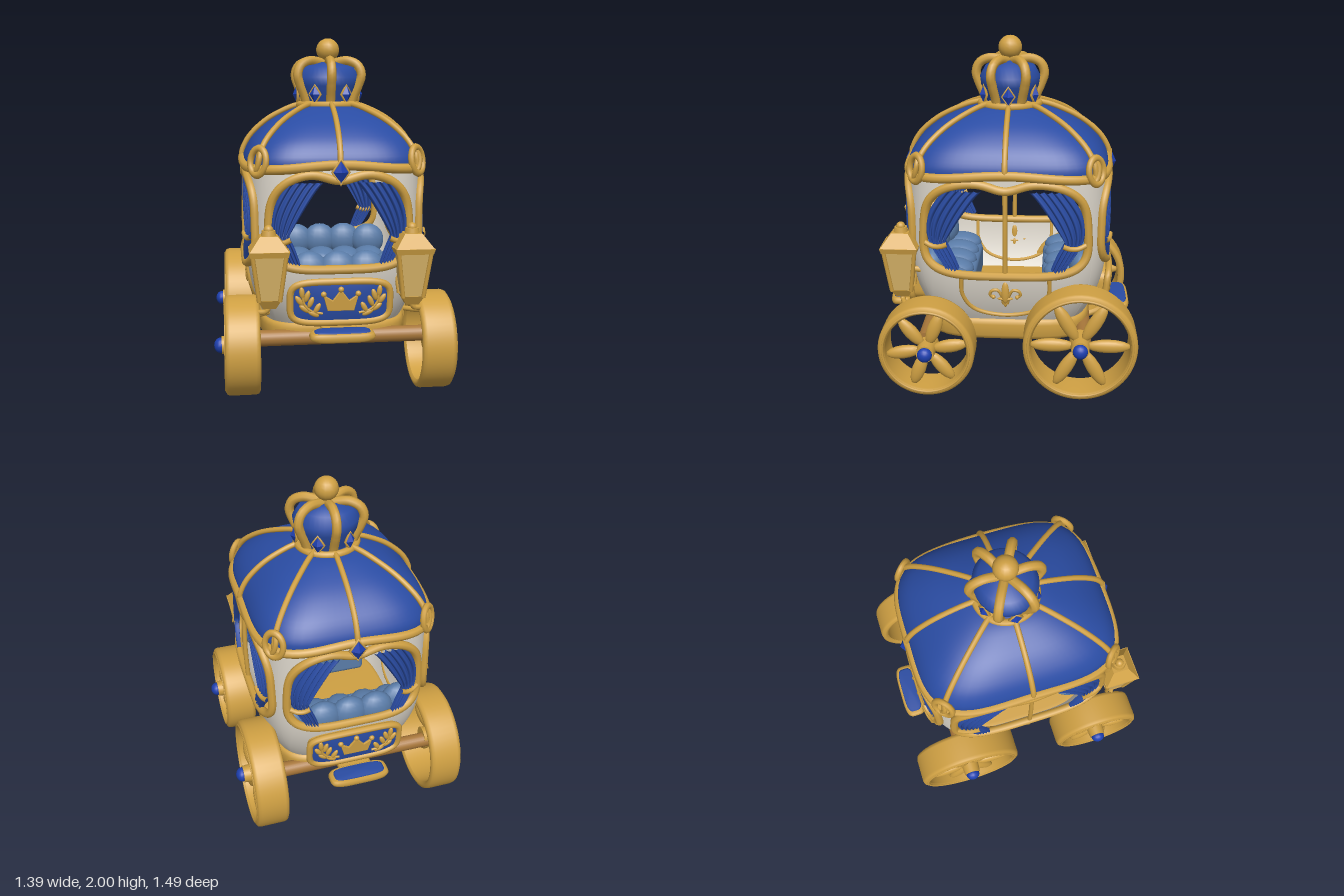
import * as THREE from 'three';
import { RoundedBoxGeometry } from 'three/addons/geometries/RoundedBoxGeometry.js';

const mat = (name, color, side = THREE.FrontSide) => {
  const m = new THREE.MeshStandardMaterial({ color, side });
  m.name = name;
  return m;
};
const gold = mat('gold', 0xcfa043), blue = mat('royal blue', 0x2a4ca3, THREE.DoubleSide);
const gem = mat('gem blue', 0x1d3fae), cream = mat('cream', 0xdad4c9, THREE.DoubleSide);
const cushion = mat('cushion blue', 0x5a7ca8), bronze = mat('bronze', 0xa8773a), glass = mat('lamp glass', 0xd8b468);

const V = (x, y, z) => new THREE.Vector3(x, y, z);
function add(parent, name, geo, m, pos = [0, 0, 0], rot = [0, 0, 0], scale = [1, 1, 1]) {
  const mesh = new THREE.Mesh(geo, m);
  mesh.name = name;
  mesh.position.set(...pos); mesh.rotation.set(...rot); mesh.scale.set(...scale);
  parent.add(mesh);
  return mesh;
}
function group(parent, name) {
  const g = new THREE.Group();
  g.name = name; parent.add(g);
  return g;
}
const ball = new THREE.SphereGeometry(1, 16, 11);
const tube = (p, name, pts, r, m = gold, closed = false, seg = 24) =>
  add(p, name, new THREE.TubeGeometry(new THREE.CatmullRomCurve3(pts, closed), seg, r, 8, closed), m);

// Grid of points f(i, j) -> Vector3 as one smooth surface
function grid(nu, nv, f, wrap = false) {
  const pos = [], idx = [], row = wrap ? nu : nu + 1;
  for (let j = 0; j <= nv; j++) for (let i = 0; i < row; i++) pos.push(...f(i, j).toArray());
  for (let j = 0; j < nv; j++) for (let i = 0; i < nu; i++) {
    const k = (i + 1) % row, a = j * row + i, b = j * row + k, c = a + row, d = b + row;
    idx.push(a, b, d, a, d, c);
  }
  const g = new THREE.BufferGeometry();
  g.setAttribute('position', new THREE.Float32BufferAttribute(pos, 3));
  g.setIndex(idx);
  g.computeVertexNormals();
  return g;
}

// Superellipse direction and ring point
function oval(t, n) {
  const s = Math.sin(t), c = Math.cos(t), r = (Math.abs(s) ** n + Math.abs(c) ** n) ** (-1 / n);
  return [s * r, c * r];
}
const ringPoint = (t, hx, hz, y, n) => { const [s, c] = oval(t, n); return V(hx * s, y, hz * c); };
// Solid of stacked rounded outlines, from [half width, y] pairs
const stack = (prof, depth, n) => grid(64, prof.length - 1, (i, j) =>
  ringPoint(i / 64 * Math.PI * 2, prof[j][0], prof[j][0] * depth, prof[j][1], n), true);

// Cabin surface: u runs across the face, d outwards; faces are front, left, back, right
const swell = y => y < 0.85 ? 1 - 1.29 * (0.85 - y) ** 2.4 : 1 - 0.12 * (y - 0.85) ** 2;
const halfs = (f, y) => { const k = swell(y); return f % 2 ? [0.585 * k, 0.505 * k] : [0.505 * k, 0.585 * k]; };
const turn = (f, v) => v.applyAxisAngle(V(0, 1, 0), f * Math.PI / 2);
function onCabin(f, u, y, off = 0) {
  const [hu, hd] = halfs(f, y), q = Math.min(1, Math.abs(u / (hu + off)));
  return turn(f, V(u, y, (hd + off) * (1 - q ** 4) ** 0.25));
}

// Window outline: arched above, with a dip in the middle of the top edge
const win = f => f % 2 ? { w: 0.46, lo: 0.71, hi: 1.255, n: 3.3 } : { w: 0.385, lo: 0.73, hi: 1.26, n: 2.8 };
function windowPoint(f, t) {
  const { w, lo, hi, n } = win(f), [s, c] = oval(t, Math.sin(t) > 0 ? n : 4);
  const u = w * c * (1 - 0.04 * s);
  return [u, (lo + hi) / 2 + (hi - lo) / 2 * s - (s > 0 ? 0.045 * Math.exp(-((u / 0.11) ** 2)) : 0)];
}

function cabinFace(parent, f) {
  const g = group(parent, ['frontWall', 'leftWall', 'backWall', 'rightWall'][f]);
  const N = 80, M = 8, angle = i => i / N * Math.PI * 2;
  add(g, 'wall', grid(N, M, (i, j) => {
    const t = -angle(i), c = Math.cos(t), s = Math.sin(t), m = Math.max(Math.abs(c), Math.abs(s));
    const [u, y] = windowPoint(f, t), q = u / halfs(f, y)[0];
    const a0 = q / (1 - q ** 4) ** 0.25, k = j / M;
    const a = a0 + (c / m - a0) * k, yy = y + (0.84 + 0.46 * s / m - y) * k;
    return onCabin(f, halfs(f, yy)[0] * a / (1 + a ** 4) ** 0.25, yy);
  }, true), cream);
  const frame = [];
  for (let i = 0; i < 64; i++) frame.push(onCabin(f, ...windowPoint(f, i / 64 * Math.PI * 2), 0.008));
  tube(g, 'windowFrame', frame, 0.025, gold, true, 110);

  // Gathered curtains and their ties
  const w = win(f).w, side = f % 2;
  const lerp = THREE.MathUtils.lerp, T = 0.66;
  for (const sg of [-1, 1]) {
    const inner = v => v < T ? lerp(side ? 0.13 : 0.09, w * 0.73, (v / T) ** 0.85) : lerp(w * 0.73, w * 0.56, ((v - T) / (1 - T)) ** 0.7);
    const outer = v => w * (0.74 + 0.24 * Math.sin(Math.PI * Math.min(1, v * 1.02)));
    add(g, 'curtain', grid(40, 14, (i, j) => {
      const v = j / 14, x = sg > 0 ? 1 - i / 40 : i / 40; // folds are rounded pleats
      return onCabin(f, sg * lerp(inner(v), outer(v), x), 1.205 - 0.45 * v - 0.02 * Math.sin(x * 3) * v, 0.026 * Math.abs(Math.sin(x * Math.PI * 5)) ** 0.8 - 0.005);
    }), blue);
    tube(g, 'curtainTie', [0, 0.3, 0.65, 1].map(x =>
      onCabin(f, sg * lerp(w * 0.7, w * 0.98, x), 0.9 - 0.02 * Math.sin(x * 3), 0.022)), 0.015);
  }
  if (side) doorTrim(g, f);
  else endTrim(g, f);
}

function doorTrim(g, f) {
  tube(g, 'windowBar', [0.71, 0.95, 1.21].map(y => onCabin(f, 0, y, 0.005)), 0.014);
  const trim = [[-0.25, 0.7], [-0.245, 0.58], [-0.18, 0.485], [0, 0.44], [0.18, 0.485], [0.245, 0.58], [0.25, 0.7]];
  tube(g, 'doorTrim', trim.map(([u, y]) => onCabin(f, u, y, 0.005)), 0.012, gold, false, 48);
  // Lily ornament
  const lily = group(g, 'lily');
  const p = onCabin(f, 0, 0.605, 0.01), r = [0, f * Math.PI / 2, 0];
  add(lily, 'petal', ball, gold, p.toArray(), r, [0.022, 0.066, 0.014]);
  add(lily, 'band', ball, gold, onCabin(f, 0, 0.565, 0.012).toArray(), r, [0.045, 0.01, 0.016]);
  add(lily, 'stem', ball, gold, onCabin(f, 0, 0.545, 0.01).toArray(), r, [0.013, 0.035, 0.012]);
  for (const s of [-1, 1]) {
    const curl = [[0.012, 0.53], [0.02, 0.58], [0.045, 0.622], [0.078, 0.615], [0.086, 0.588], [0.068, 0.575]];
    tube(lily, 'curl', curl.map(([u, y]) => onCabin(f, s * u, y, 0.01)), 0.009);
    add(lily, 'curlEnd', ball, gold, onCabin(f, s * 0.068, 0.575, 0.01).toArray(), r, [0.012, 0.012, 0.012]);
  }
}

function endTrim(parent, f) {
  const g = group(parent, 'endTrim');
  g.rotation.y = f * Math.PI / 2;
  // Nearly upright blue panel standing off the wall, with a gold border
  const onPanel = (x, y, o) => { const p = onCabin(0, x, 0.6 + (y - 0.545) * 0.35, o); p.y = y; return p; };
  const edge = i => { const [s, c] = oval(i / 64 * Math.PI * 2, 4.5); return [0.275 * c, 0.55 + 0.117 * s]; };
  add(g, 'panel', grid(64, 6, (i, j) => {
    const [u, y] = edge(i), k = 1 - j / 6;
    return onPanel(u * k, 0.55 + (y - 0.55) * k, 0.04 + 0.01 * (1 - k * k));
  }, true), blue);
  add(g, 'panelSide', grid(64, 1, (i, j) => j ? onPanel(...edge(i), 0.04) : onCabin(0, ...edge(i), -0.01), true), gold);
  const pts = [];
  for (let i = 0; i < 64; i++) pts.push(onPanel(...edge(i), 0.037));
  tube(g, 'panelBorder', pts, 0.02, gold, true, 90);
  // Crown and leaf relief
  const at = (x, y, o) => onPanel(x, y, o).toArray();
  const shape = new THREE.Shape([[-0.07, -0.05], [0.07, -0.05], [0.095, 0.035], [0.045, 0], [0, 0.06], [-0.045, 0], [-0.095, 0.035]].map(p => new THREE.Vector2(...p)));
  add(g, 'crownPlate', new THREE.ExtrudeGeometry(shape, { depth: 0.012, bevelSize: 0.004, bevelThickness: 0.004, bevelSegments: 2 }), gold, at(0, 0.56, 0.045), [0.07, 0, 0]);
  for (const [x, y] of [[-0.095, 0.6], [0, 0.625], [0.095, 0.6]]) add(g, 'crownBead', ball, gold, at(x, y, 0.053), [0, 0, 0], [0.016, 0.016, 0.014]);
  for (const s of [-1, 1]) {
    tube(g, 'twig', [[0.1, 0.49], [0.16, 0.505], [0.2, 0.545], [0.21, 0.59]].map(([x, y]) => V(...at(s * x, y, 0.052))), 0.007);
    for (const [x, y, a] of [[0.13, 0.52, 0.5], [0.15, 0.49, -1.1], [0.165, 0.555, 0.4], [0.2, 0.52, -0.9], [0.185, 0.59, 0.3], [0.228, 0.565, -0.6], [0.213, 0.61, -0.1]])
      add(g, 'leaf', ball, gold, at(s * x, y, 0.05), [0.07, 0, s * a], [0.015, 0.034, 0.012]);
  }
  // Padded step and roof-edge jewel
  const step = [[0.001, 0.36], [0.15, 0.36], [0.172, 0.368], [0.18, 0.385], [0.172, 0.402], [0.155, 0.408], [0.001, 0.408]];
  const pad = [[0.152, 0.4], [0.152, 0.41], [0.14, 0.416], [0.001, 0.418]];
  add(g, 'step', stack(step, 0.38, 4), gold, [0, 0, 0.67]);
  add(g, 'stepPad', stack(pad, 0.33, 4), blue, [0, 0, 0.672]);
  add(g, 'stepBracket', new RoundedBoxGeometry(0.2, 0.04, 0.2, 2, 0.015), gold, [0, 0.38, 0.55]);
  jewel(g, [0, 1.262, 0.598], [0, 0, 0], 1);
}

function jewel(parent, pos, rot, k) {
  const g = group(parent, 'jewel');
  g.position.set(...pos); g.rotation.set(...rot); g.scale.setScalar(k);
  add(g, 'stone', new THREE.OctahedronGeometry(1), gem, [0, 0, 0.005], [0, 0, 0], [0.045, 0.066, 0.03]);
  add(g, 'setting', new THREE.TorusGeometry(0.064, 0.01, 8, 4), gold, [0, 0, 0], [0, 0, 0], [0.72, 1.05, 1]);
}

function roof(parent) {
  const g = group(parent, 'roof');
  const prof = new THREE.SplineCurve([[1, 1.28], [0.985, 1.34], [0.89, 1.425], [0.71, 1.51], [0.5, 1.57], [0.3, 1.605], [0.001, 1.62]].map(p => new THREE.Vector2(...p))).getPoints(24);
  const at = (t, p, o = 0) => ringPoint(t, 0.51 * p.x + o, 0.58 * p.x + o, p.y + o, 2 + 2 * Math.min(1, p.x));
  add(g, 'canopy', grid(80, 24, (i, j) => at(i / 80 * Math.PI * 2, prof[j]), true), blue);
  for (let k = 0; k < 8; k++) tube(g, 'rib', prof.slice(0, 23).map(p => at(k * Math.PI / 4, p, 0.01)), 0.016);
  const eave = [];
  for (let i = 0; i < 64; i++) { const t = i / 64 * Math.PI * 2; eave.push(ringPoint(t, 0.513, 0.578, 1.284 + 0.014 * Math.cos(4 * t), 4)); }
  tube(g, 'eave', eave, 0.027, gold, true, 120);
  // Corner scrolls
  for (const sx of [-1, 1]) for (const sz of [-1, 1]) {
    const c = group(g, 'cornerScroll');
    c.position.set(sx * 0.43, 1.315, sz * 0.49);
    c.rotation.y = Math.atan2(sx, sz);
    add(c, 'loop', new THREE.TorusGeometry(0.06, 0.018, 8, 28), gold, [0, 0, 0.01], [-0.15, 0, 0], [0.95, 1.2, 1]);
    tube(c, 'curl', [V(0, 0.07, -0.01), V(0.015, 0.02, 0.015), V(0, -0.04, 0.02), V(-0.03, -0.07, 0.01)], 0.015);
  }
}

function crown(parent) {
  const g = group(parent, 'crown'), D = 0.92;
  const cap = [[0.14, 1.6], [0.155, 1.65], [0.185, 1.72], [0.192, 1.77], [0.155, 1.83], [0.07, 1.86], [0, 1.865]];
  add(g, 'cap', new THREE.LatheGeometry(cap.map(p => new THREE.Vector2(...p)), 40), blue, [0, 0, 0], [0, 0, 0], [1, 1, D]);
  add(g, 'collar', new THREE.TorusGeometry(0.172, 0.022, 8, 48), gold, [0, 1.61, 0], [Math.PI / 2, 0, 0]);
  for (let k = 0; k < 6; k++) {
    const a = k * Math.PI / 3, s = Math.sin(a), c = Math.cos(a) * D;
    tube(g, 'arm', [[0.15, 1.61], [0.168, 1.66], [0.2, 1.73], [0.217, 1.785], [0.195, 1.84], [0.135, 1.868], [0.07, 1.862], [0, 1.84]].map(([r, y]) => V(r * s, y, r * c)), 0.027);
    const b = a + Math.PI / 6;
    jewel(g, [0.182 * Math.sin(b), 1.672, 0.182 * Math.cos(b) * D], [0, b, 0], 0.8);
  }
  add(g, 'orb', ball, gold, [0, 1.932, 0], [0, 0, 0], [0.069, 0.068, 0.069]);
}

function wheel(parent, name, x, y, z, R, phase) {
  const g = group(parent, name);
  g.position.set(x, y, z);
  g.rotation.z = x > 0 ? -Math.PI / 2 : Math.PI / 2; // local +y points outwards
  const i = R - 0.045, h = 0.095;
  const prof = [[i, -h + 0.012], [i + 0.012, -h], [R - 0.02, -h], [R - 0.005, -h + 0.008], [R, -h + 0.025], [R, h - 0.025], [R - 0.005, h - 0.008], [R - 0.02, h], [i + 0.012, h], [i, h - 0.012], [i, -h + 0.012]];
  add(g, 'rim', new THREE.LatheGeometry(prof.map(p => new THREE.Vector2(...p)), 56), gold);
  add(g, 'rimBead', new THREE.TorusGeometry(R - 0.03, 0.008, 6, 56), gold, [0, h - 0.002, 0], [Math.PI / 2, 0, 0]);
  const L = (i - 0.035) / 2;
  for (let k = 0; k < 6; k++) {
    const a = k * Math.PI / 3 + phase, r = 0.037 + L;
    add(g, 'spoke', ball, gold, [r * Math.sin(a), 0.045, r * Math.cos(a)], [0, a, 0], [0.04, 0.03, L + 0.005]);
  }
  add(g, 'hub', new THREE.CylinderGeometry(0.05, 0.06, 0.15, 28), gold, [0, 0.04, 0]);
  add(g, 'hubCap', ball, gem, [0, 0.122, 0], [0, 0, 0], [0.043, 0.036, 0.043]);
}

function lantern(parent, s) {
  const g = group(parent, s > 0 ? 'leftLantern' : 'rightLantern');
  const x = s * 0.39, z = 0.605, q = Math.SQRT2;
  const frustum = (name, top, bot, y0, y1, m) => add(g, name,
    new THREE.CylinderGeometry(top * q, bot * q, y1 - y0, 4).toNonIndexed(), m, [x, (y0 + y1) / 2, z], [0, Math.PI / 4, 0]).geometry.computeVertexNormals();
  frustum('panes', 0.088, 0.055, 0.58, 0.83, glass);
  frustum('rim', 0.108, 0.1, 0.825, 0.855, gold);
  frustum('hood', 0.048, 0.104, 0.855, 0.93, gold);
  frustum('foot', 0.062, 0.035, 0.535, 0.585, gold);
  add(g, 'chimney', new THREE.CylinderGeometry(0.036, 0.042, 0.03, 20), gold, [x, 0.942, z]);
  add(g, 'finial', ball, gold, [x, 0.96, z], [0, 0, 0], [0.026, 0.026, 0.026]);
  for (const a of [-1, 1]) for (const b of [-1, 1])
    tube(g, 'cornerBar', [V(x + a * 0.056, 0.58, z + b * 0.056), V(x + a * 0.089, 0.83, z + b * 0.089)], 0.012, gold, false, 2);
  tube(g, 'bracket', [V(x, 0.55, z), V(x + s * 0.015, 0.515, z), V(x + s * 0.07, 0.5, z - 0.03), V(x + s * 0.075, 0.47, z - 0.09), V(x, 0.46, z - 0.17)], 0.015);
  tube(g, 'mount', [V(x, 0.7, z), V(x, 0.7, 0.54), V(x, 0.69, 0.47)], 0.018, gold, false, 8);
}

function seat(parent, s) {
  const g = group(parent, s > 0 ? 'frontSeat' : 'backSeat');
  add(g, 'bench', new RoundedBoxGeometry(0.64, 0.18, 0.2, 2, 0.03), cushion, [0, 0.52, s * 0.3]);
  for (let k = -2; k <= 2; k++) {
    add(g, 'backCushion', ball, cushion, [k * 0.16, 0.7, s * (Math.abs(k) > 1 ? 0.43 : 0.47)], [0, 0, 0], [0.11, 0.11, 0.07]);
    add(g, 'seatCushion', ball, cushion, [k * 0.155, 0.61, s * 0.34], [0, 0, 0], [0.1, 0.065, 0.13]);
  }
}

export function createModel() {
  const model = new THREE.Group();
  model.name = 'carriage';
  for (let f = 0; f < 4; f++) cabinFace(model, f);
  // Rounded floor tray
  const tray = [[0.001, 0.27], [0.39, 0.27], [0.41, 0.275], [0.425, 0.3], [0.43, 0.37], [0.42, 0.395], [0.39, 0.41], [0.001, 0.41]];
  add(model, 'floor', stack(tray, 1.14, 4), gold);
  roof(model);
  crown(model);
  for (const s of [-1, 1]) {
    const n = s > 0 ? 'left' : 'right';
    wheel(model, n + 'FrontWheel', s * 0.535, 0.283, 0.447, 0.278, s * 0.17);
    wheel(model, n + 'BackWheel', s * 0.535, 0.33, -0.43, 0.325, 0);
    lantern(model, s);
    seat(model, s);
  }
  for (const [name, z] of [['frontAxle', 0.46], ['backAxle', -0.45]])
    add(model, name, new THREE.CylinderGeometry(0.045, 0.045, 1.08, 24), bronze, [0, 0.318, z], [0, 0, Math.PI / 2]);
  return model;
}
